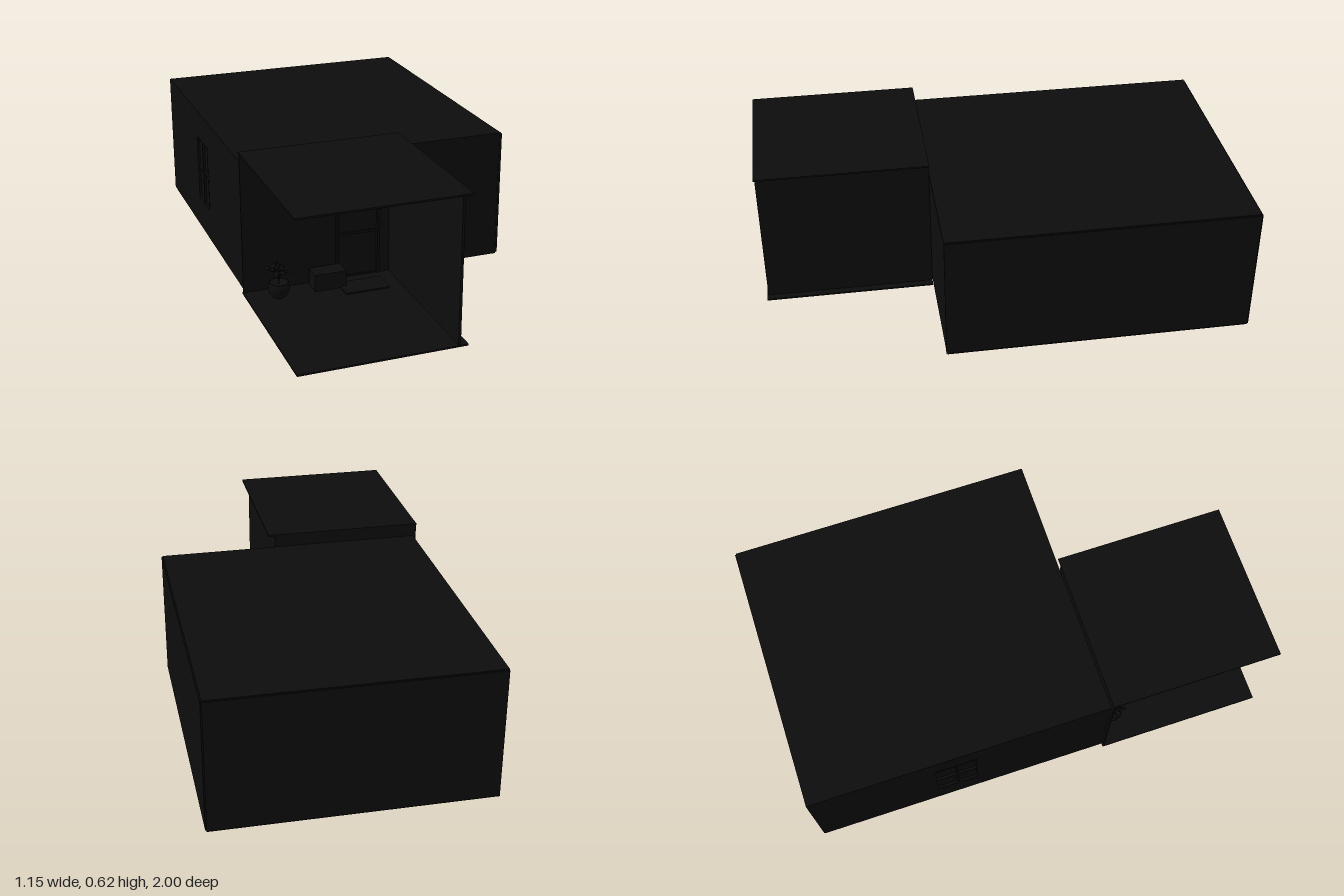
import * as THREE from 'three';

const black = new THREE.MeshStandardMaterial({ color: 0x0d0d0d, side: THREE.DoubleSide });
black.name = 'black';

function add(parent, name, geometry, x = 0, y = 0, z = 0) {
  const mesh = new THREE.Mesh(geometry, black);
  mesh.name = name;
  mesh.position.set(x, y, z);
  parent.add(mesh);
  return mesh;
}

// Box given by its minimum and maximum corners
function block(parent, name, [x0, y0, z0], [x1, y1, z1]) {
  return add(parent, name, new THREE.BoxGeometry(x1 - x0, y1 - y0, z1 - z0),
    (x0 + x1) / 2, (y0 + y1) / 2, (z0 + z1) / 2);
}

// Flat wall in the xy plane with one rectangular opening
function piercedWall(w0, w1, y0, y1, [a, b, c, d], depth) {
  const shape = new THREE.Shape([[w0, y0], [w1, y0], [w1, y1], [w0, y1]].map(p => new THREE.Vector2(...p)));
  shape.holes.push(new THREE.Path([[a, b], [a, d], [c, d], [c, b]].map(p => new THREE.Vector2(...p))));
  return new THREE.ExtrudeGeometry(shape, { depth, bevelEnabled: false });
}

function makeHouse() {
  const house = new THREE.Group();
  house.name = 'house';
  block(house, 'houseFloor', [-0.565, 0, -0.995], [0.57, 0.01, 0.275]);
  block(house, 'houseRoof', [-0.565, 0.55, -0.995], [0.57, 0.56, 0.28]);
  block(house, 'leftWall', [0.565, 0.008, -0.995], [0.575, 0.555, 0.28]);
  block(house, 'backWall', [-0.565, 0.005, -1], [0.57, 0.555, -0.99]);
  add(house, 'frontWall', piercedWall(-0.565, 0.57, 0.005, 0.555, [-0.17, 0.012, 0.01, 0.43], 0.01), 0, 0, 0.268);

  // Right wall with its window
  const side = add(house, 'rightWall', piercedWall(-0.28, 0.995, 0.005, 0.555, [0.29, 0.14, 0.48, 0.44], 0.01), -0.565);
  side.rotation.y = Math.PI / 2;
  block(house, 'windowGlass', [-0.556, 0.14, -0.48], [-0.552, 0.44, -0.29]);
  for (const z of [-0.48, -0.385, -0.298])
    block(house, 'windowUpright', [-0.566, 0.14, z], [-0.55, 0.44, z + 0.008]);
  for (const y of [0.14, 0.29, 0.432])
    block(house, 'windowCrossbar', [-0.566, y, -0.48], [-0.55, y + 0.008, -0.29]);
  return house;
}

function makePorch() {
  const porch = new THREE.Group();
  porch.name = 'porch';
  block(porch, 'porchFloor', [-0.58, 0, 0.28], [0.1, 0.007, 1]);
  block(porch, 'porchRoof', [-0.58, 0.61, 0.28], [0.1, 0.617, 1]);
  block(porch, 'porchSideWall', [0.06, 0.005, 0.28], [0.07, 0.612, 0.995]);
  add(porch, 'porchBackWall', piercedWall(-0.578, 0.068, 0.005, 0.612, [-0.17, 0.012, 0.01, 0.43], 0.008), 0, 0, 0.28);
  return porch;
}

function makeDoor() {
  const door = new THREE.Group();
  door.name = 'door';
  block(door, 'doorLeaf', [-0.17, 0.012, 0.27], [0.01, 0.43, 0.278]);
  for (const x of [-0.178, 0.006]) block(door, 'doorPost', [x, 0.007, 0.28], [x + 0.012, 0.43, 0.294]);
  block(door, 'doorHeader', [-0.185, 0.425, 0.28], [0.025, 0.505, 0.3]);
  block(door, 'doorRail', [-0.17, 0.195, 0.277], [0.01, 0.205, 0.286]);
  block(door, 'doormat', [-0.19, 0.007, 0.34], [0, 0.013, 0.45]);
  return door;
}

function makePlant() {
  const plant = new THREE.Group();
  plant.name = 'pottedPlant';
  const profile = [[0, 0], [0.026, 0], [0.04, 0.02], [0.046, 0.045], [0.042, 0.063], [0.036, 0.063], [0.034, 0.054], [0, 0.054]];
  add(plant, 'pot', new THREE.LatheGeometry(profile.map(p => new THREE.Vector2(...p)), 24));
  // Stems fan out from the soil, each carrying leaves
  const leaf = new THREE.SphereGeometry(0.013, 10, 6).scale(1, 0.3, 0.75);
  for (let i = 0; i < 9; i++) {
    const angle = i * 2.4, reach = 0.015 + 0.005 * i, top = 0.148 - 0.005 * i;
    const curve = new THREE.QuadraticBezierCurve3(
      new THREE.Vector3(0, 0.054, 0),
      new THREE.Vector3(0, top, 0),
      new THREE.Vector3(Math.cos(angle) * reach - 0.012, top, Math.sin(angle) * reach));
    add(plant, 'stem', new THREE.TubeGeometry(curve, 8, 0.0015, 5));
    for (const t of [0.7, 1]) {
      const p = curve.getPoint(t);
      add(plant, 'leaf', leaf, p.x, p.y, p.z).rotation.set(0.4, -angle, 0.5 - t);
    }
  }
  plant.position.set(-0.45, 0.007, 0.365);
  return plant;
}

export function createModel() {
  const model = new THREE.Group();
  model.name = 'houseWithPorch';
  model.add(makeHouse(), makePorch(), makeDoor(), makePlant());
  // Low storage box beside the door
  block(model, 'storageBox', [-0.3, 0.007, 0.3], [-0.163, 0.08, 0.38]);
  return model;
}
